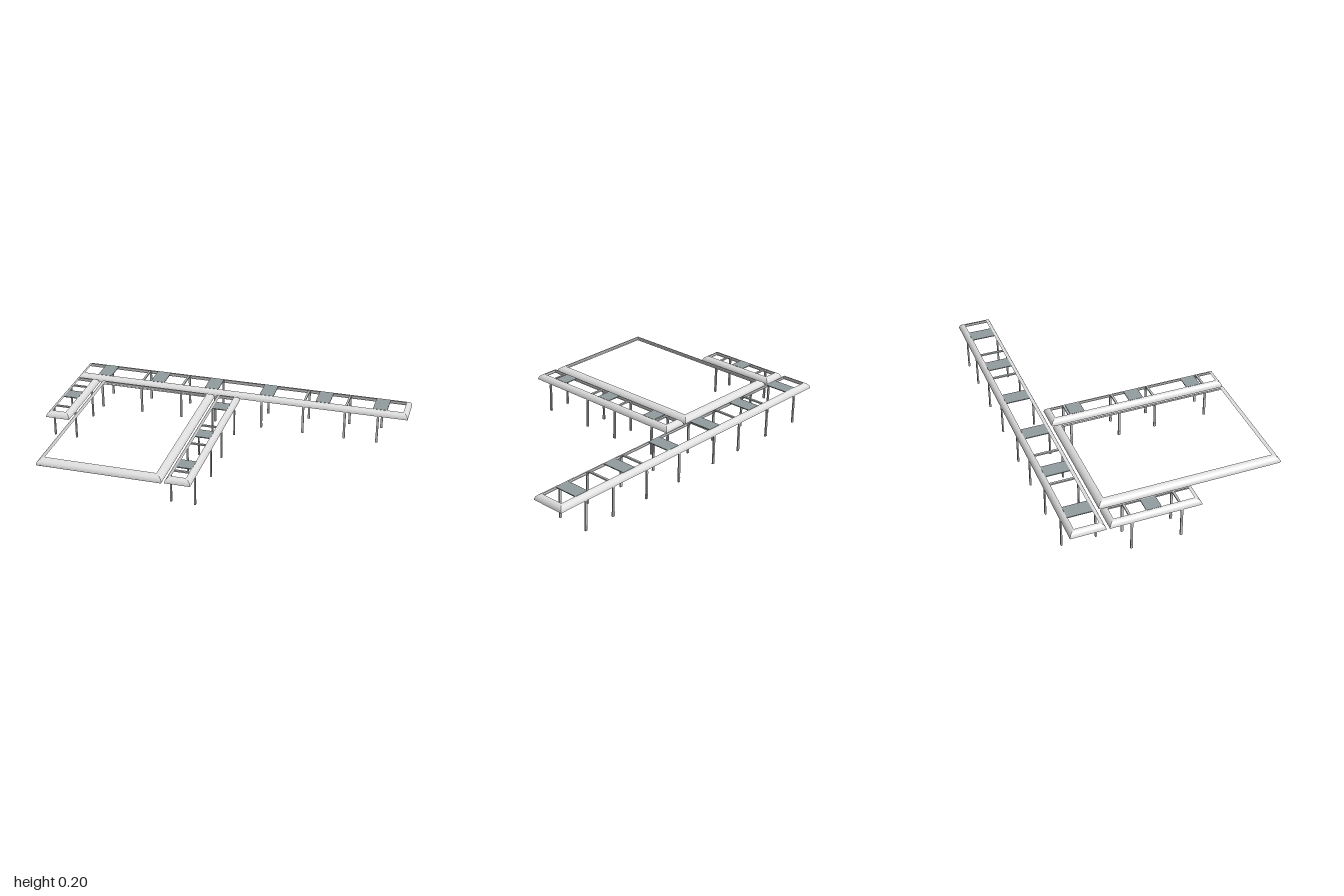
import * as THREE from 'three';

const frameMat = new THREE.MeshStandardMaterial({ name: 'pale grey cladding', color: 0xdddedd, side: THREE.DoubleSide });
const steelMat = new THREE.MeshStandardMaterial({ name: 'steel grey', color: 0xbcbfc0 });
const panelMat = new THREE.MeshStandardMaterial({ name: 'slate panel', color: 0x929c9e });

// Thin shell running around a rectangle, quarter-round outside, mitred corners
function roundedFrame(name, x0, x1, z0, z1, width, bottom) {
  const top = 0.202, base = 0.17, steps = 8;
  const profile = [];
  for (let i = 0; i <= steps; i++) {
    const a = (i / steps) * Math.PI / 2;
    profile.push([width * (1 - Math.cos(a)), base + (top - base) * Math.sin(a)]);
  }
  const frame = new THREE.Group();
  frame.name = name;
  const corners = (t) => [[x0 + t, z1 - t], [x1 - t, z1 - t], [x1 - t, z0 + t], [x0 + t, z0 + t]];
  const strip = (points, partName) => {
    for (let side = 0; side < 4; side++) {
      const pos = [], index = [];
      points.forEach(([t, y], i) => {
        const c = corners(t), p = c[side], q = c[(side + 1) % 4];
        pos.push(p[0], y, p[1], q[0], y, q[1]);
        if (i < points.length - 1) {
          const k = i * 2;
          index.push(k, k + 1, k + 3, k, k + 3, k + 2);
        }
      });
      const geo = new THREE.BufferGeometry();
      geo.setAttribute('position', new THREE.Float32BufferAttribute(pos, 3));
      geo.setIndex(index);
      geo.computeVertexNormals();
      const mesh = new THREE.Mesh(geo, frameMat);
      mesh.name = partName;
      frame.add(mesh);
    }
  };
  strip(profile, 'roundedEdge');
  strip([[0.003, bottom], [0.003, base], [0, base]], 'lowerLip');
  return frame;
}

// Flat-bar portal: two legs joined by a crossbar with curved shoulders
function portal(span, depth = 0.012) {
  const a = span / 2, t = 0.008, s = 0.155, top = 0.196, r = 0.028;
  const shape = new THREE.Shape();
  shape.moveTo(-a, 0);
  shape.lineTo(-a, s);
  shape.quadraticCurveTo(-a, top, -a + r, top);
  shape.lineTo(a - r, top);
  shape.quadraticCurveTo(a, top, a, s);
  shape.lineTo(a, 0);
  shape.lineTo(a - t, 0);
  shape.lineTo(a - t, s);
  shape.quadraticCurveTo(a - t, top - t, a - r, top - t);
  shape.lineTo(-a + r, top - t);
  shape.quadraticCurveTo(-a + t, top - t, -a + t, s);
  shape.lineTo(-a + t, 0);
  shape.closePath();
  const geo = new THREE.ExtrudeGeometry(shape, { depth, bevelEnabled: false, curveSegments: 6 });
  geo.translate(0, 0, -depth / 2);
  const group = new THREE.Group();
  group.name = 'supportPortal';
  const bar = new THREE.Mesh(geo, steelMat);
  bar.name = 'legsAndCrossbar';
  group.add(bar);
  // Foot sleeves
  for (const side of [-1, 1]) {
    const foot = new THREE.Mesh(new THREE.BoxGeometry(0.009, 0.025, 0.013), steelMat);
    foot.name = 'foot';
    foot.position.set(side * (a - t / 2), 0.0125, 0);
    group.add(foot);
  }
  return group;
}

function panel(x, z, w, d) {
  const mesh = new THREE.Mesh(new THREE.BoxGeometry(w, 0.005, d), panelMat);
  mesh.name = 'roofPanel';
  mesh.position.set(x, 0.2005, z);
  return mesh;
}

// A covered walkway: rounded frame, portals and roof panels along its length
function walkway(name, [x0, x1, z0, z1], alongX, portals, panels) {
  const group = new THREE.Group();
  group.name = name;
  group.add(roundedFrame('canopyFrame', x0, x1, z0, z1, 0.03, 0.168));
  const cx = (x0 + x1) / 2, cz = (z0 + z1) / 2;
  const span = alongX ? z1 - z0 : x1 - x0;
  for (const p of portals) {
    const arch = portal(span);
    arch.position.set(alongX ? p : cx, 0, alongX ? cz : p);
    if (alongX) arch.rotation.y = Math.PI / 2;
    group.add(arch);
  }
  for (const p of panels) {
    const across = span - 0.054;
    group.add(alongX ? panel(p, cz, 0.083, across) : panel(cx, p, across, 0.083));
  }
  return group;
}

export function createModel() {
  const model = new THREE.Group();
  model.name = 'walkwayCanopies';
  model.add(
    walkway('backWalkway', [-1, 1, -0.613, -0.422], true,
      [-0.85, -0.6, -0.352, -0.14, 0.142, 0.392, 0.638, 0.83],
      [-0.84, -0.505, -0.17, 0.165, 0.5, 0.836]),
    walkway('shortWalkway', [-1, -0.86, -0.405, 0.092], false, [-0.288, -0.018], [-0.16]),
    walkway('longWalkway', [-0.124, 0.017, -0.405, 0.613], false,
      [-0.293, -0.012, 0.203, 0.508], [-0.247, 0.099, 0.445]),
    roundedFrame('courtyardFrame', -0.843, -0.139, -0.405, 0.613, 0.038, 0.164),
  );
  return model;
}
